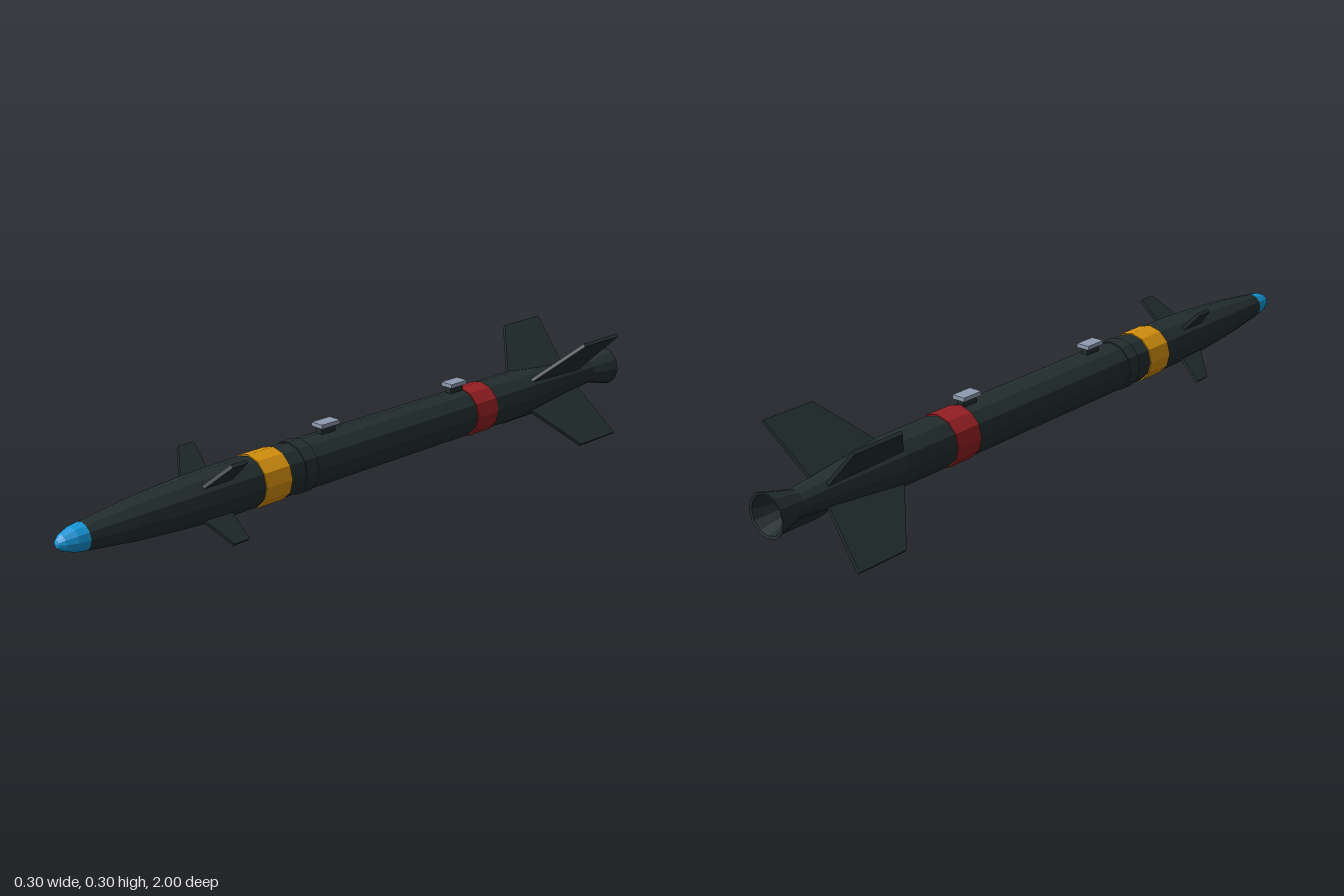
import * as THREE from 'three';

const AXIS_Y = 0.153; // height of the body axis
const SIDES = 12;

function material(name, color, extra = {}) {
  const m = new THREE.MeshStandardMaterial({ color, flatShading: true, ...extra });
  m.name = name;
  return m;
}

export function createModel() {
  const dark = material('darkGreen', 0x232e2f, { side: THREE.DoubleSide });
  const blue = material('blue', 0x1496d8);
  const yellow = material('yellow', 0xd8920f);
  const red = material('red', 0x982024);
  const grey = material('grey', 0x8e9bb0);

  const model = new THREE.Group();
  model.name = 'missile';
  const add = (name, geometry, mat, parent = model) => {
    const mesh = new THREE.Mesh(geometry, mat);
    mesh.name = name;
    parent.add(mesh);
    return mesh;
  };

  // Everything round is turned from [radius, z] points listed back to front
  const turned = (name, points, mat) => {
    const g = new THREE.LatheGeometry(points.map(([r, z]) => new THREE.Vector2(r, z)), SIDES);
    g.rotateX(Math.PI / 2);
    return add(name, g, mat).position.setY(AXIS_Y);
  };

  // Hollow nozzle, boat tail, tube and ogive
  turned('body', [
    [0, -0.91], [0.026, -0.915], [0.05, -0.998], [0.057, -1], [0.035, -0.915], [0.042, -0.84],
    [0.067, -0.61], [0.067, 0.5], [0.064, 0.6], [0.058, 0.7], [0.05, 0.8], [0.035, 0.925],
  ], dark);
  turned('noseTip', [[0.035, 0.925], [0.031, 0.955], [0.021, 0.983], [0.01, 0.996], [0, 1]], blue);

  // Raised rings
  const ring = (name, z0, z1, r, mat) =>
    turned(name, [[0.06, z0], [r, z0], [r, z1], [0.06, z1]], mat);
  ring('yellowBand', 0.335, 0.42, 0.07, yellow);
  ring('redBand', -0.443, -0.36, 0.07, red);
  ring('couplingRing', 0.243, 0.285, 0.07, dark);

  // Four diagonal fins from an outline of [radius, z] points
  const finSet = (name, outline, thickness) => {
    const group = new THREE.Group();
    group.name = name + 's';
    group.position.y = AXIS_Y;
    const shape = new THREE.Shape(outline.map(([r, z]) => new THREE.Vector2(r, z)));
    const g = new THREE.ExtrudeGeometry(shape, { depth: thickness, bevelEnabled: false });
    g.translate(0, 0, -thickness / 2);
    g.rotateX(Math.PI / 2);
    for (let i = 0; i < 4; i++) {
      add(name, g, dark, group).rotation.z = Math.PI / 4 + (i * Math.PI) / 2;
    }
    model.add(group);
  };
  finSet('tailFin', [[0.03, -0.838], [0.209, -0.867], [0.209, -0.715], [0.064, -0.612], [0.03, -0.612]], 0.01);
  finSet('foreFin', [[0.05, 0.515], [0.141, 0.51], [0.141, 0.558], [0.06, 0.602], [0.05, 0.602]], 0.01);

  // Launch lugs on top
  for (const z of [0.153, -0.335]) {
    const lug = new THREE.Group();
    lug.name = 'launchLug';
    lug.position.z = z;
    add('lugStem', new THREE.BoxGeometry(0.018, 0.03, 0.05), dark, lug).position.y = 0.223;
    add('lugPlate', new THREE.BoxGeometry(0.038, 0.011, 0.063), grey, lug).position.y = 0.242;
    model.add(lug);
  }
  return model;
}
